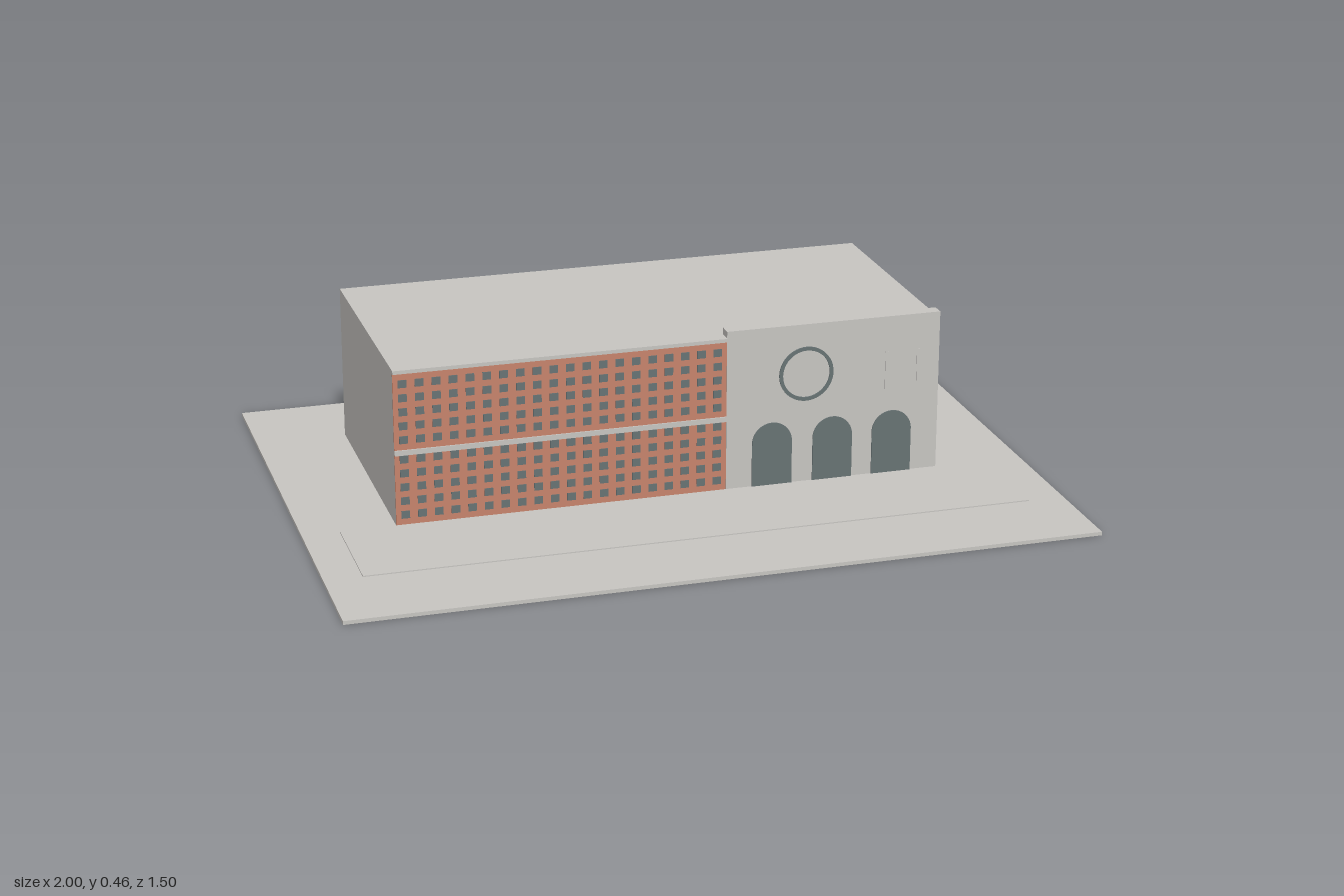
import * as THREE from 'three';

const mat = (name, color) => new THREE.MeshStandardMaterial({ name, color });

export function createModel() {
  const concrete = mat('concrete', 0xc8c6c2);
  const brick = mat('brick', 0xc8846c);
  const glass = mat('glass', 0x687374);
  const model = new THREE.Group();
  model.name = 'building';

  const add = (name, geometry, material, parent = model) => {
    const mesh = new THREE.Mesh(geometry, material);
    mesh.name = name;
    parent.add(mesh);
    return mesh;
  };
  // Box given by its lower and upper limits on each axis
  const box = (name, material, [x0, x1], [y0, y1], [z0, z1], parent) => {
    const mesh = add(name, new THREE.BoxGeometry(x1 - x0, y1 - y0, z1 - z0), material, parent);
    mesh.position.set((x0 + x1) / 2, (y0 + y1) / 2, (z0 + z1) / 2);
    return mesh;
  };
  const extrude = (shape, depth) =>
    new THREE.ExtrudeGeometry(shape, { depth, bevelEnabled: false, curveSegments: 24 });

  // Ground slab and forecourt
  box('groundSlab', concrete, [-1, 1], [0, 0.01], [-0.75, 0.75]);
  box('forecourt', concrete, [-0.9, 0.9], [0.01, 0.013], [0.2, 0.5]);

  // Main block, with the taller entrance front
  box('mainBlock', concrete, [-0.75, 0.75], [0.01, 0.44], [-0.5, 0.194]);
  box('entranceFront', concrete, [0.15, 0.75], [0.01, 0.459], [0.164, 0.2]);

  // Brick wing with its two ledges
  box('brickWall', brick, [-0.75, 0.15], [0.01, 0.43], [0.194, 0.198]);
  box('cornice', concrete, [-0.75, 0.15], [0.43, 0.44], [0.194, 0.202]);
  box('middleLedge', concrete, [-0.75, 0.15], [0.206, 0.22], [0.194, 0.202]);

  // Window grid: two storeys of five rows
  const windows = new THREE.Group();
  windows.name = 'windows';
  model.add(windows);
  const pane = new THREE.BoxGeometry(0.023, 0.021, 0.003);
  for (const base of [0.04, 0.248]) {
    for (let row = 0; row < 5; row++) {
      for (let col = 0; col < 20; col++) {
        add('window', pane, glass, windows)
          .position.set(-0.725 + col * 0.0447, base + row * 0.0385, 0.1985);
      }
    }
  }

  // Arched doorways
  const r = 0.056;
  const arch = new THREE.Shape();
  arch.moveTo(-r, 0.013);
  arch.lineTo(r, 0.013);
  arch.lineTo(r, 0.134);
  arch.absarc(0, 0.134, r, 0, Math.PI, false);
  arch.closePath();
  const archGeometry = extrude(arch, 0.003);
  for (const x of [0.278, 0.449, 0.618]) {
    add('archedDoor', archGeometry, glass).position.set(x, 0, 0.2);
  }

  // Round ring on the entrance front
  const ring = new THREE.Shape().absarc(0, 0, 0.076, 0, Math.PI * 2, false);
  ring.holes.push(new THREE.Path().absarc(0, 0, 0.066, 0, Math.PI * 2, true));
  add('wallRing', extrude(ring, 0.004), glass).position.set(0.372, 0.32, 0.2);

  // Slim upright ribs beside the ring
  for (const x of [0.6, 0.69]) {
    box('wallRib', concrete, [x - 0.004, x + 0.004], [0.25, 0.36], [0.2, 0.202]);
  }
  return model;
}
